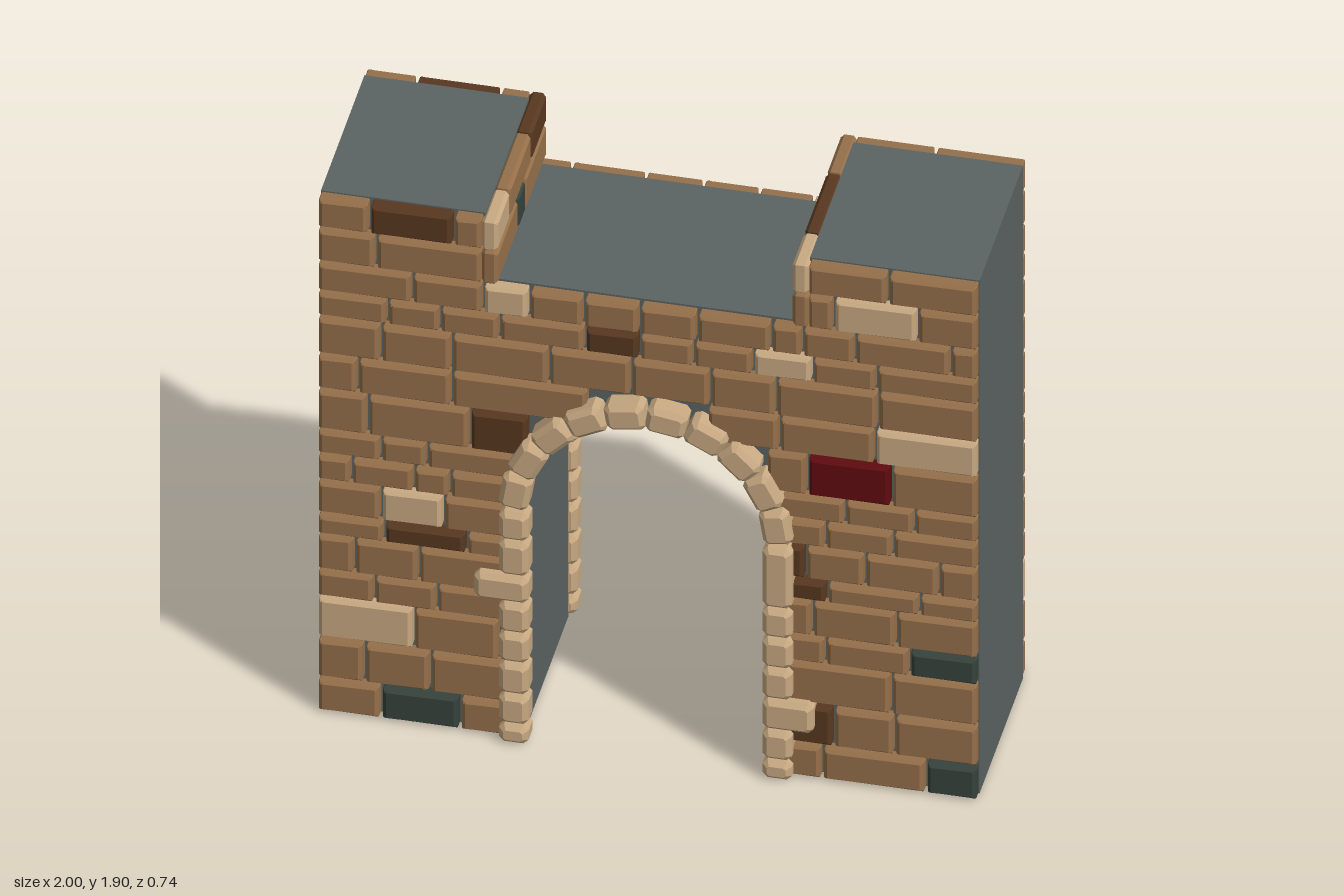
import * as THREE from 'three';

const mat = (name, color) => {
  const m = new THREE.MeshStandardMaterial({ color });
  m.name = name;
  return m;
};

export function createModel() {
  const mortar = mat('mortar grey', 0x5b6363);
  const brown = mat('brick brown', 0x96704a);
  const dark = mat('dark brown', 0x583820);
  const tan = mat('pale tan', 0xc8a982);
  const green = mat('dark green', 0x37433d);
  const red = mat('deep red', 0x600b10);

  const SPRING = 0.87, OPEN = 0.38, CORE_Z = 0.29;
  const BRICK_Z = 0.308, BRICK_D = 0.054, GAP = 0.012;
  const root = new THREE.Group();
  root.name = 'gatehouse';

  // Chamfered block centred on the origin; k cuts the outline corners
  function block(name, w, h, d, c, k, material) {
    const a = w / 2, b = h / 2;
    const s = new THREE.Shape([
      [-a + k, -b], [a - k, -b], [a, -b + k], [a, b - k],
      [a - k, b], [-a + k, b], [-a, b - k], [-a, -b + k],
    ].map(p => new THREE.Vector2(...p)));
    const g = new THREE.ExtrudeGeometry(s, {
      depth: d - 2 * c, bevelEnabled: true, bevelSegments: 1,
      bevelSize: c, bevelThickness: c, bevelOffset: -c,
    });
    g.translate(0, 0, c - d / 2);
    const m = new THREE.Mesh(g, material);
    m.name = name;
    return m;
  }

  // Row of bricks between successive x edges; special maps index to material
  function row(parent, y0, y1, edges, special = {}, z = BRICK_Z) {
    for (let i = 0; i + 1 < edges.length; i++) {
      const x0 = edges[i] + (edges[i] === -1 ? 0.002 : GAP / 2);
      const x1 = edges[i + 1] - (edges[i + 1] === 1 ? 0.002 : GAP / 2);
      const m = block('brick', x1 - x0, y1 - y0, BRICK_D, 0.011, 0.003, special[i] || brown);
      m.position.set((x0 + x1) / 2, (y0 + y1) / 2, z);
      parent.add(m);
    }
  }

  // Mortar core: wall outline with raised ends and the arched passage
  const o = new THREE.Shape();
  o.moveTo(-1, 0);
  o.lineTo(-OPEN, 0);
  o.lineTo(-OPEN, SPRING);
  o.absarc(0, SPRING, OPEN, Math.PI, 0, true);
  o.lineTo(OPEN, 0);
  o.lineTo(1, 0);
  o.lineTo(1, 1.903);
  o.lineTo(0.485, 1.903);
  o.lineTo(0.485, 1.665);
  o.lineTo(-0.5, 1.665);
  o.lineTo(-0.5, 1.903);
  o.lineTo(-1, 1.903);
  o.closePath();
  const coreGeo = new THREE.ExtrudeGeometry(o, { depth: 2 * CORE_Z, bevelEnabled: false, curveSegments: 20 });
  coreGeo.translate(0, 0, -CORE_Z);
  const core = new THREE.Mesh(coreGeo, mortar);
  core.name = 'wallCore';
  root.add(core);

  // Brick face: rows beside the passage, then rows across the full width
  const face = new THREE.Group();
  face.name = 'wallFace';
  const pair = (y0, y1, left, right, ls, rs) => {
    row(face, y0, y1, left, ls);
    row(face, y0, y1, right, rs);
  };
  pair(0.005, 0.115, [-1, -0.81, -0.57, -0.4], [0.4, 0.53, 0.845, 1], { 1: green }, { 2: green });
  pair(0.13, 0.265, [-1, -0.86, -0.66, -0.4], [0.4, 0.565, 0.75, 1], {}, { 0: dark });
  pair(0.28, 0.42, [-1, -0.71, -0.45, -0.39], [0.4, 0.74, 1], { 0: tan });
  pair(0.43, 0.52, [-1, -0.83, -0.64, -0.4], [0.4, 0.54, 0.795, 1], {}, { 2: green });
  pair(0.53, 0.65, [-1, -0.89, -0.695, -0.4], [0.4, 0.5, 0.755, 1]);
  pair(0.66, 0.725, [-1, -0.8, -0.55, -0.4], [0.4, 0.545, 0.825, 1], { 1: dark }, { 0: dark });
  pair(0.74, 0.85, [-1, -0.81, -0.62, -0.4], [0.4, 0.48, 0.66, 0.885, 1], { 1: tan }, { 0: dark });
  pair(0.862, 0.945, [-1, -0.9, -0.71, -0.6, -0.4], [0.4, 0.54, 0.745, 1]);
  pair(0.96, 1.04, [-1, -0.81, -0.67, -0.39], [0.39, 0.6, 0.81, 1]);
  pair(1.05, 1.188, [-1, -0.85, -0.54, -0.36], [0.36, 0.485, 0.74, 1], { 2: dark }, { 1: red });
  pair(1.2, 1.318, [-1, -0.88, -0.595, -0.18], [0.18, 0.4, 0.69, 1], {}, { 2: tan });
  row(face, 1.33, 1.456, [-1, -0.81, -0.595, -0.3, -0.05, 0.19, 0.39, 0.7, 1]);
  row(face, 1.47, 1.552, [-1, -0.79, -0.63, -0.45, -0.19, -0.025, 0.14, 0.32, 0.5, 0.695, 1], { 4: dark, 7: tan });
  row(face, 1.563, 1.66, [-1, -0.715, -0.5, -0.36, -0.195, -0.025, 0.15, 0.375, 0.47, 0.63, 0.92, 1], { 2: tan });

  // Trim stones: ten around the arch, then stacked jambs
  const trim = (x, y, w, h, rot = 0) => {
    const m = block('trimStone', w, h, 0.085, 0.016, 0.016, tan);
    m.position.set(x, y, 0.3275);
    m.rotation.z = rot;
    face.add(m);
  };
  for (let i = 0; i < 10; i++) {
    const a = Math.PI * (i + 0.5) / 10;
    trim(0.4 * Math.cos(a), SPRING + 0.4 * Math.sin(a), 0.09, 0.122, a);
  }
  const jamb = (side, levels, wide, reach) => {
    for (let i = 0; i + 1 < levels.length; i++) {
      const outer = i === wide ? reach : 0.445;
      trim(side * (0.355 + outer) / 2, (levels[i] + levels[i + 1]) / 2, outer - 0.355, levels[i + 1] - levels[i] - 0.006);
    }
  };
  jamb(-1, [0, 0.072, 0.183, 0.3, 0.41, 0.522, 0.622, 0.752, 0.86], 5, 0.52);
  jamb(1, [0, 0.072, 0.183, 0.297, 0.413, 0.525, 0.635, 0.86], 2, 0.51);
  root.add(face);

  // The other face is the same wall turned half round
  const back = face.clone();
  back.name = 'wallFaceBack';
  back.rotation.y = Math.PI;
  root.add(back);

  // Raised ends: matching bricks on both faces
  const LOW = [1.672, 1.785], HIGH = [1.797, 1.9];
  const ends = new THREE.Group();
  ends.name = 'battlements';
  for (const z of [BRICK_Z, -BRICK_Z]) {
    row(ends, ...LOW, [-1, -0.825, -0.5], {}, z);
    row(ends, ...HIGH, [-1, -0.845, -0.59, -0.5], { 1: dark }, z);
    row(ends, ...LOW, [0.485, 0.565, 0.82, 1], { 1: tan }, z);
    row(ends, ...HIGH, [0.485, 0.73, 1], {}, z);
  }

  // Bricks lining the inner sides of the raised ends, along z
  const lining = (x, [y0, y1], edges, mats) => {
    mats.forEach((material, i) => {
      const m = block('innerBrick', edges[i + 1] - edges[i] - 0.008, y1 - y0, 0.05, 0.011, 0.003, material);
      m.rotation.y = Math.PI / 2;
      m.position.set(x, (y0 + y1) / 2, (edges[i] + edges[i + 1]) / 2);
      ends.add(m);
    });
  };
  lining(-0.48, HIGH, [-0.333, -0.125, 0.16, 0.333], [dark, brown, tan]);
  lining(-0.48, LOW, [-0.333, -0.05, 0.05, 0.333], [brown, green, brown]);
  lining(0.464, HIGH, [-0.333, -0.135, 0.165, 0.333], [brown, dark, tan]);
  lining(0.464, LOW, [-0.333, -0.05, 0.333], [red, brown]);
  root.add(ends);

  return root;
}
